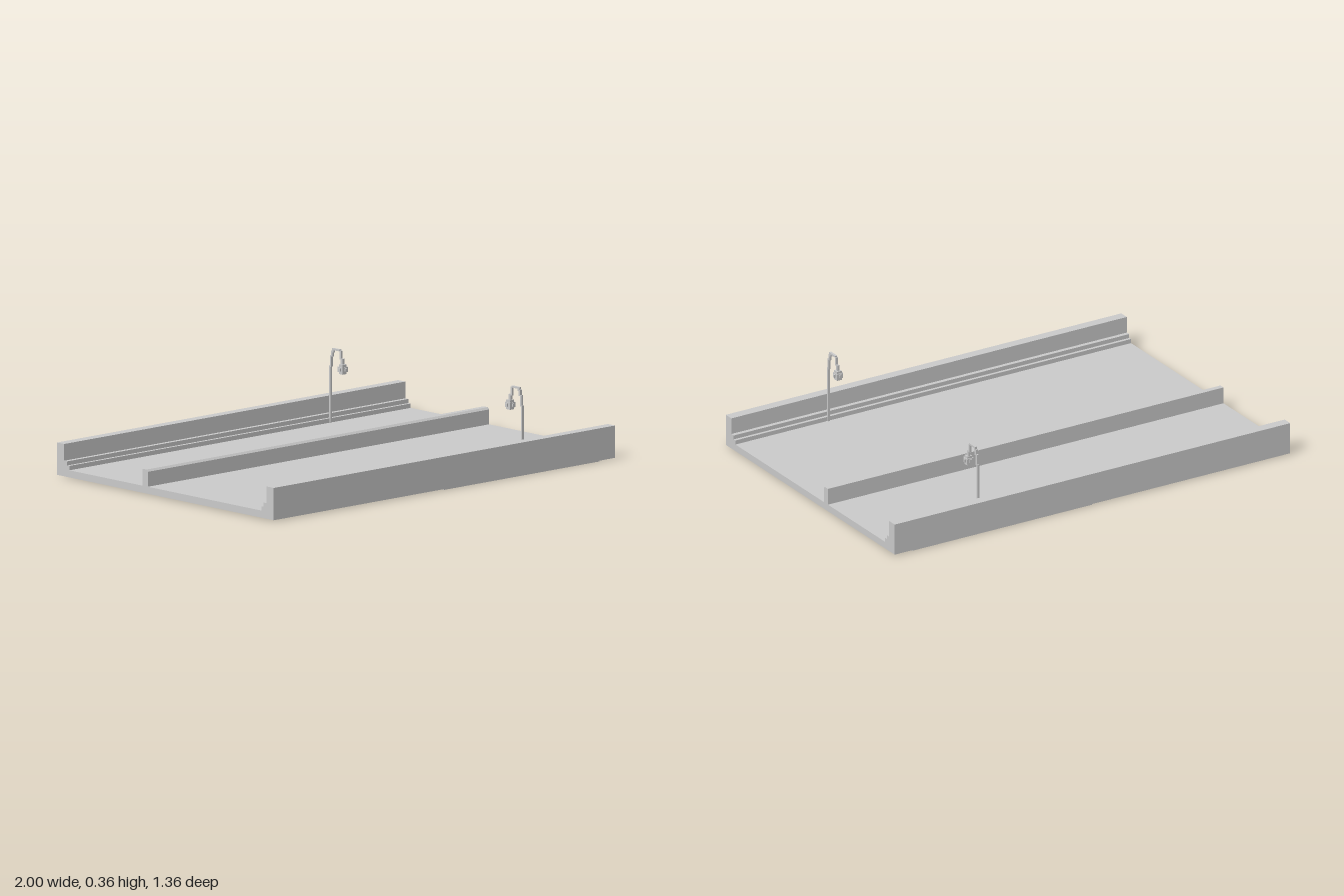
import * as THREE from 'three';

const material = new THREE.MeshStandardMaterial({ color: 0xcccccc, flatShading: true });

// Box given by its lower and upper bounds
function block(name, x0, x1, y0, y1, z0, z1) {
  const mesh = new THREE.Mesh(new THREE.BoxGeometry(x1 - x0, y1 - y0, z1 - z0), material);
  mesh.name = name;
  mesh.position.set((x0 + x1) / 2, (y0 + y1) / 2, (z0 + z1) / 2);
  return mesh;
}

// Road cross-section (z, y) swept along the whole length
function makeRoad() {
  const side = [[0.68, 0.004], [0.68, 0.145], [0.635, 0.145], [0.635, 0.072],
    [0.616, 0.072], [0.616, 0.054], [0.602, 0.054], [0.602, 0.035]];
  const median = [[-0.11, 0.035], [-0.11, 0.1], [-0.118, 0.109], [-0.143, 0.109], [-0.143, 0.035]];
  const mirrored = side.map(([z, y]) => [-z, y]).reverse();
  const points = [...side, ...median, ...mirrored].map(([z, y]) => new THREE.Vector2(-z, y));
  const geometry = new THREE.ExtrudeGeometry(new THREE.Shape(points), { depth: 2, bevelEnabled: false });
  geometry.translate(0, 0, -1).rotateY(Math.PI / 2);
  const road = new THREE.Mesh(geometry, material);
  road.name = 'roadDeck';
  return road;
}

// Street lamp with a stepped gooseneck; s is the side of the road
function makeLamp(s) {
  const lamp = new THREE.Group();
  lamp.name = s > 0 ? 'frontLamp' : 'backLamp';
  const x = 0.53;
  const add = (name, w, y0, y1, a, b) =>
    lamp.add(block(name, x - w, x + w, y0, y1, Math.min(a * s, b * s), Math.max(a * s, b * s)));

  add('pole', 0.005, 0.035, 0.285, 0.597, 0.606);
  const neck = [[0.28, 0.33, 0.592, 0.601], [0.325, 0.352, 0.584, 0.593], [0.345, 0.363, 0.578, 0.588],
    [0.355, 0.363, 0.539, 0.584], [0.32, 0.358, 0.532, 0.541], [0.298, 0.325, 0.521, 0.533]];
  neck.forEach((n) => add('gooseneck', 0.005, ...n));

  // Lantern: core with a cross-shaped rim
  add('lanternCore', 0.012, 0.258, 0.3, 0.513, 0.537);
  add('lanternRim', 0.022, 0.272, 0.286, 0.52, 0.53);
  add('lanternRim', 0.005, 0.272, 0.286, 0.503, 0.547);
  add('lanternRim', 0.016, 0.267, 0.29, 0.509, 0.541);
  return lamp;
}

export function createModel() {
  const model = new THREE.Group();
  model.name = 'roadSection';
  model.add(makeRoad());
  for (const s of [1, -1]) {
    model.add(makeLamp(s));
    // Low strip under each parapet
    model.add(block('undersideStrip', 0, 0.91, 0, 0.009, s * 0.645 - 0.033, s * 0.645 + 0.033));
  }
  return model;
}
